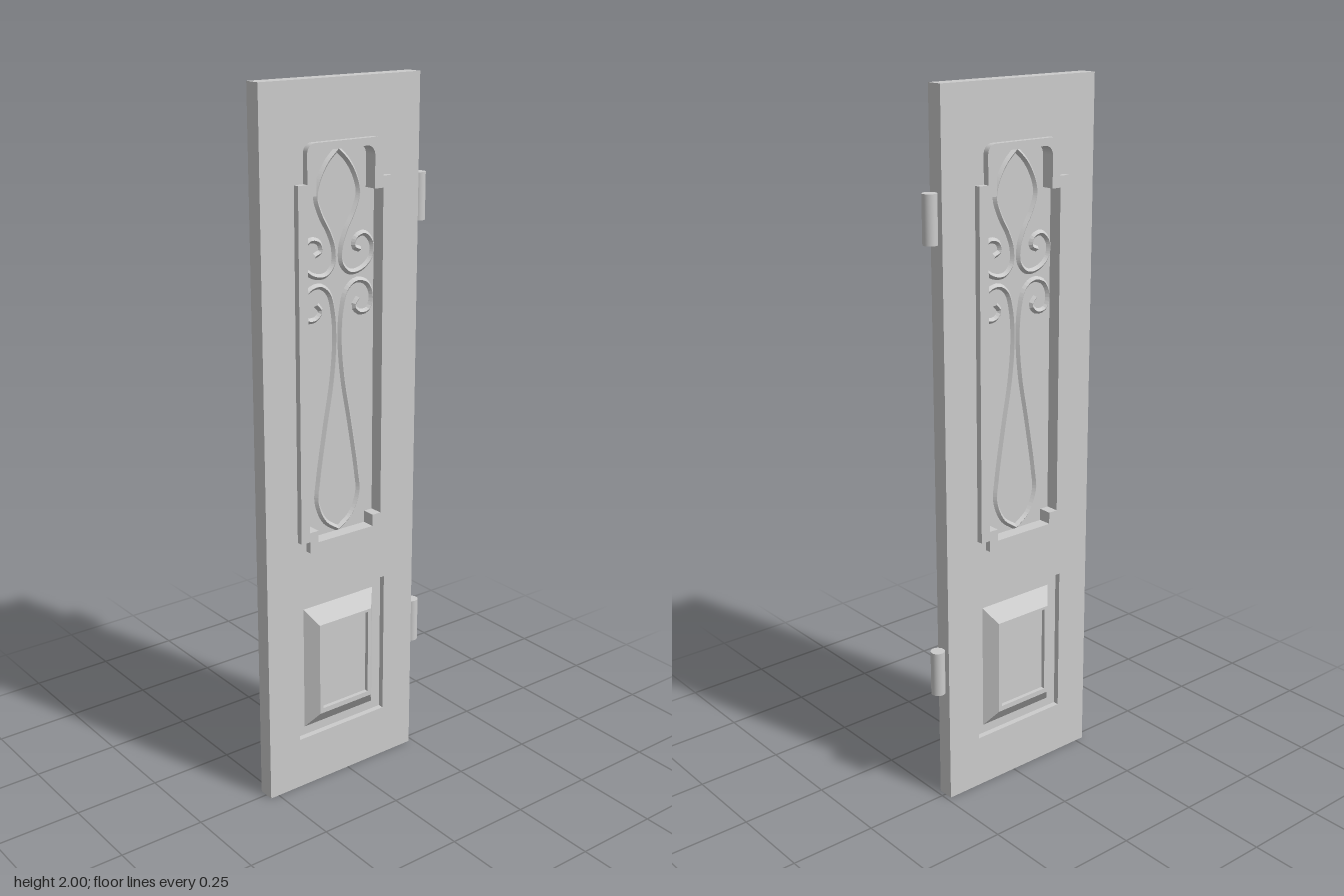
import * as THREE from 'three';

const CX = -0.021; // centre line of the decorated panels
const material = new THREE.MeshStandardMaterial({ color: 0xcccccc, flatShading: true });

function add(parent, name, geometry, x = 0, y = 0, z = 0) {
  const mesh = new THREE.Mesh(geometry, material);
  mesh.name = name;
  mesh.position.set(x, y, z);
  parent.add(mesh);
  return mesh;
}

// Stepped outline with rounded top corners, mirrored about x = cx
function steppedOutline(path, cx, wide, narrow, bottom, lowStep, highStep, top, r) {
  path.moveTo(cx - narrow, bottom);
  path.lineTo(cx + narrow, bottom);
  path.lineTo(cx + narrow, lowStep);
  path.lineTo(cx + wide, lowStep);
  path.lineTo(cx + wide, highStep);
  path.lineTo(cx + narrow, highStep);
  path.lineTo(cx + narrow, top - r);
  path.absarc(cx + narrow - r, top - r, r, 0, Math.PI / 2, false);
  path.lineTo(cx - narrow + r, top);
  path.absarc(cx - narrow + r, top - r, r, Math.PI / 2, Math.PI, false);
  path.lineTo(cx - narrow, highStep);
  path.lineTo(cx - wide, highStep);
  path.lineTo(cx - wide, lowStep);
  path.lineTo(cx - narrow, lowStep);
  path.closePath();
  return path;
}

function rectangle(path, x0, x1, y0, y1) {
  path.moveTo(x0, y0);
  path.lineTo(x1, y0);
  path.lineTo(x1, y1);
  path.lineTo(x0, y1);
  path.closePath();
  return path;
}

function slab(shape, depth) {
  return new THREE.ExtrudeGeometry(shape, { depth, bevelEnabled: false, curveSegments: 8 })
    .translate(0, 0, -depth / 2);
}

// Rectangular rings [halfWidth, y0, y1, z] joined from outside in, last one capped
function steppedRelief(rings) {
  const positions = [], indices = [];
  for (const [w, y0, y1, z] of rings) {
    positions.push(-w, y0, z, w, y0, z, w, y1, z, -w, y1, z);
  }
  for (let r = 0; r < rings.length - 1; r++) {
    for (let i = 0; i < 4; i++) {
      const a = r * 4 + i, b = r * 4 + (i + 1) % 4;
      indices.push(a, b, b + 4, a, b + 4, a + 4);
    }
  }
  const e = (rings.length - 1) * 4;
  indices.push(e, e + 1, e + 2, e, e + 2, e + 3);
  const indexed = new THREE.BufferGeometry();
  indexed.setAttribute('position', new THREE.Float32BufferAttribute(positions, 3));
  indexed.setIndex(indices);
  const geometry = indexed.toNonIndexed();
  geometry.computeVertexNormals();
  return geometry;
}

export function createModel() {
  const model = new THREE.Group();
  model.name = 'door';

  // Door leaf with two openings
  const leaf = rectangle(new THREE.Shape(), -0.277, 0.237, 0, 2);
  leaf.holes.push(
    steppedOutline(new THREE.Path(), CX, 0.152, 0.123, 0.737, 0.77, 1.743, 1.845, 0.026),
    rectangle(new THREE.Path(), CX - 0.153, CX + 0.153, 0.154, 0.585));
  add(model, 'doorLeaf', slab(leaf, 0.048));

  // Raised frame around the upper opening
  const frame = steppedOutline(new THREE.Shape(), CX, 0.152, 0.123, 0.737, 0.77, 1.743, 1.845, 0.026);
  frame.holes.push(
    steppedOutline(new THREE.Path(), CX, 0.123, 0.095, 0.763, 0.797, 1.712, 1.825, 0.026));
  add(model, 'upperFrame', slab(frame, 0.084));

  // Thin infill behind the scrollwork
  add(model, 'upperInfill', new THREE.BoxGeometry(0.245, 0.935, 0.006), CX, 1.25, 0);
  add(model, 'upperInfillTop', new THREE.BoxGeometry(0.2, 0.12, 0.006), CX, 1.7725, 0);
  add(model, 'upperInfillBottom', new THREE.BoxGeometry(0.2, 0.03, 0.006), CX, 0.7725, 0);

  // Scrollwork: two curves, each mirrored left to right
  const scrolls = {
    upperScroll: [[0, 1.82], [0.035, 1.786], [0.062, 1.738], [0.069, 1.7], [0.053, 1.653],
      [0.027, 1.606], [0.012, 1.563], [0.014, 1.52], [0.04, 1.494], [0.08, 1.498], [0.112, 1.526],
      [0.114, 1.566], [0.088, 1.592], [0.06, 1.583], [0.055, 1.56], [0.075, 1.55]],
    lowerScroll: [[0, 0.768], [0.045, 0.802], [0.071, 0.864], [0.066, 0.927], [0.042, 1.075],
      [0.018, 1.208], [0.009, 1.314], [0.014, 1.394], [0.03, 1.447], [0.061, 1.468], [0.098, 1.457],
      [0.115, 1.42], [0.103, 1.383], [0.073, 1.38], [0.055, 1.4], [0.07, 1.42]],
  };
  for (const [name, points] of Object.entries(scrolls)) {
    for (const side of [-1, 1]) {
      const curve = new THREE.CatmullRomCurve3(
        points.map(([x, y]) => new THREE.Vector3(CX + side * x, y, 0)));
      add(model, name + (side > 0 ? 'Left' : 'Right'), new THREE.TubeGeometry(curve, 90, 0.011, 4, false));
    }
  }

  // Lower raised panel, the same on both faces
  const relief = steppedRelief([
    [0.153, 0.154, 0.585, 0.007],
    [0.123, 0.18, 0.553, 0.007],
    [0.092, 0.226, 0.507, 0.042],
    [0.081, 0.241, 0.499, 0.042],
    [0.081, 0.241, 0.499, 0.03],
  ]);
  add(model, 'lowerPanelFront', relief, CX);
  add(model, 'lowerPanelBack', relief, CX).rotation.y = Math.PI;

  // Hinge barrels on the left edge
  for (const y of [0.403, 1.67]) {
    const hinge = add(model, 'hinge', new THREE.CylinderGeometry(0.02, 0.02, 0.13, 32), 0.257, y, 0);
    hinge.material = new THREE.MeshStandardMaterial({ color: 0xcccccc });
  }
  return model;
}
